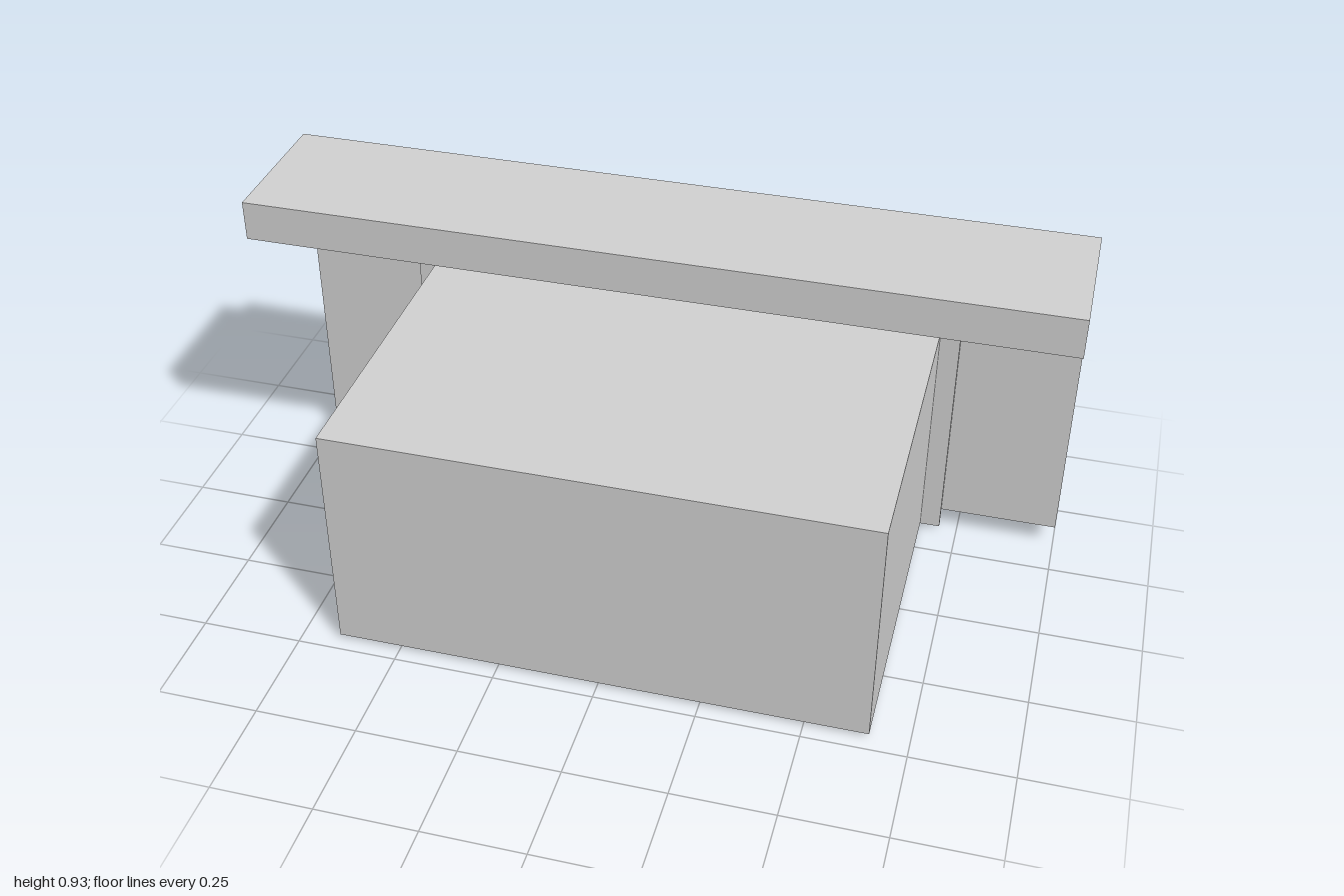
import * as THREE from 'three';

export function createModel() {
  const model = new THREE.Group();
  const grey = new THREE.MeshStandardMaterial({ color: 0xd3d3d3 });
  grey.name = 'light grey';

  const add = (name, geometry, x = 0, y = 0, z = 0) => {
    const mesh = new THREE.Mesh(geometry, grey);
    mesh.name = name;
    mesh.position.set(x, y, z);
    model.add(mesh);
    return mesh;
  };
  // Box given by its extents along each axis
  const box = (name, x0, x1, y0, y1, z0, z1) =>
    add(name, new THREE.BoxGeometry(x1 - x0, y1 - y0, z1 - z0),
      (x0 + x1) / 2, (y0 + y1) / 2, (z0 + z1) / 2);

  // Surround panel with an opening that runs down to its lower edge
  const outline = new THREE.Shape([
    [-1, 0.06], [-0.605, 0.06], [-0.605, 0.56], [0.605, 0.56],
    [0.605, 0.06], [1, 0.06], [1, 0.827], [-1, 0.827],
  ].map(([x, y]) => new THREE.Vector2(x, y)));
  add('surroundPanel',
    new THREE.ExtrudeGeometry(outline, { depth: 0.092, bevelEnabled: false }), 0, 0, -0.442);

  // Overhead housing
  box('upperHousing', -1, 1, 0.827, 0.927, -0.35, 0.017);

  // Main body and its mounting flange
  box('body', -0.655, 0.655, 0.012, 0.61, -0.337, 0.463);
  box('flange', -0.705, 0.705, 0.012, 0.61, -0.35, -0.337);

  // Door set slightly back in the opening, with a narrow gap around it
  box('door', -0.589, 0.589, 0.064, 0.546, -0.435, -0.35);
  box('doorLatch', -0.014, 0.014, 0.438, 0.455, -0.441, -0.435);
  box('latchCatch', -0.014, 0.014, 0.532, 0.55, -0.441, -0.435);

  // Feet under the panel
  for (const side of [-1, 1]) {
    const foot = box('foot', 0.445, 0.607, 0, 0.06, -0.39, -0.35);
    foot.position.x *= side;
  }

  // Pull bar along the lower edge, with its central bracket and grip plate
  const bar = add('pullBar', new THREE.CylinderGeometry(0.019, 0.019, 1, 16), 0, 0.061, -0.443);
  bar.rotation.z = Math.PI / 2;
  box('barBracket', -0.033, 0.033, 0.054, 0.064, -0.45, -0.41);
  box('gripPlate', -0.033, 0.033, 0.05, 0.072, -0.4625, -0.455);

  return model;
}
